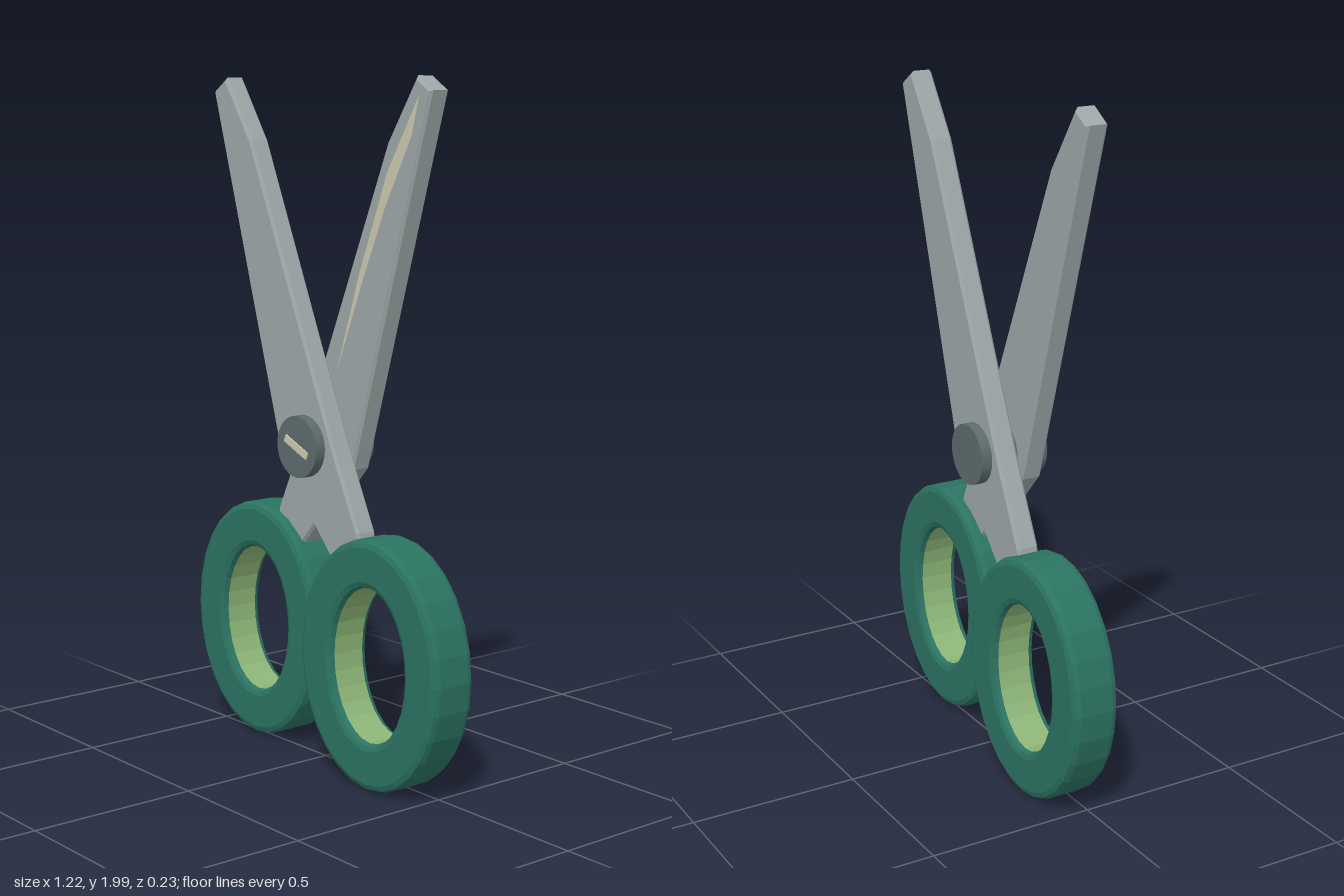
import * as THREE from 'three';

const mat = (name, color) => {
  const m = new THREE.MeshStandardMaterial({ color });
  m.name = name;
  return m;
};

function faceted(geo) {
  const g = geo.index ? geo.toNonIndexed() : geo;
  g.computeVertexNormals();
  return g;
}

const polygon = (pts) => new THREE.Shape(pts.map(([x, y]) => new THREE.Vector2(x, y)));

// Revolves a (radius, z) profile around z, stretched upright into an oval loop
function ovalLathe(profile) {
  const g = new THREE.LatheGeometry(profile.map(([r, z]) => new THREE.Vector2(r, z)), 28);
  g.rotateX(Math.PI / 2);
  const p = g.attributes.position;
  for (let i = 0; i < p.count; i++) {
    const x = p.getX(i), y = p.getY(i), r = Math.hypot(x, y);
    // rotateX sends the profile height to -z, so flip it back with a half turn below
    p.setY(i, y * (r + 0.066) / r);
  }
  return faceted(g);
}

export function createModel() {
  const steel = mat('steel', 0x9da7a8);
  const darkSteel = mat('dark steel', 0x5c6b6d);
  const green = mat('handle green', 0x2b7361);
  const lightGreen = mat('grip lining green', 0x8db577);
  const cream = mat('bright edge', 0xcfc8ae);

  const model = new THREE.Group();
  model.name = 'scissors';
  const add = (parent, name, geo, material) => {
    const mesh = new THREE.Mesh(geo, material);
    mesh.name = name;
    parent.add(mesh);
    return mesh;
  };

  // Blade and tang in one bevelled plate
  const bladeGeo = new THREE.ExtrudeGeometry(polygon([
    [-0.375, 2.0], [-0.436, 1.96], [-0.13, 0.95], [-0.11, 0.885],
    [0.12, 0.63], [0.24, 0.70], [0.235, 0.73], [0.13, 0.945], [-0.255, 1.82],
  ]), { depth: 0.052, bevelThickness: 0.008, bevelSize: 0.008, bevelOffset: -0.008, bevelSegments: 1 });
  bladeGeo.translate(0, 0, 0.016);

  // Handle loop: outer wall, rounded rims and faces, with the lining kept apart
  const ri = 0.158, ro = 0.295, h = 0.0715;
  const loopGeo = ovalLathe([
    [ri, -h + 0.02], [ri + 0.006, -h + 0.006], [ri + 0.02, -h],
    [ro - 0.02, -h], [ro - 0.006, -h + 0.006], [ro, -h + 0.02],
    [ro, h - 0.02], [ro - 0.006, h - 0.006], [ro - 0.02, h],
    [ri + 0.02, h], [ri + 0.006, h - 0.006], [ri, h - 0.02],
  ]);
  const liningGeo = ovalLathe([[ri, h - 0.02], [ri, -h + 0.02]]);

  // Two identical halves, the rear one turned half round
  for (const side of ['front', 'rear']) {
    const half = new THREE.Group();
    half.name = side + 'Half';
    add(half, 'blade', bladeGeo, steel);
    for (const [name, geo, m] of [['handleLoop', loopGeo, green], ['gripLining', liningGeo, lightGreen]]) {
      add(half, name, geo, m).position.set(0.315, 0.367, 0.0435);
    }
    if (side === 'rear') half.rotation.y = Math.PI;
    model.add(half);
  }

  // Bright ground sliver on the inner face of the rear blade
  const sliver = new THREE.ShapeGeometry(polygon([
    [0.04, 1.16], [0.15, 1.42], [0.25, 1.64], [0.36, 1.84],
    [0.39, 1.95], [0.26, 1.74], [0.14, 1.45],
  ]));
  add(model, 'groundEdge', sliver, cream).position.z = -0.007;

  // Pivot screw through both blades
  const pin = new THREE.CylinderGeometry(0.09, 0.09, 0.216, 28);
  pin.rotateX(Math.PI / 2);
  add(model, 'pivotScrew', pin, darkSteel).position.y = 0.95;

  // Screw slot
  const slot = add(model, 'screwSlot', new THREE.BoxGeometry(0.11, 0.022, 0.006), cream);
  slot.position.set(0, 0.95, 0.109);
  slot.rotation.z = -0.4;

  return model;
}
